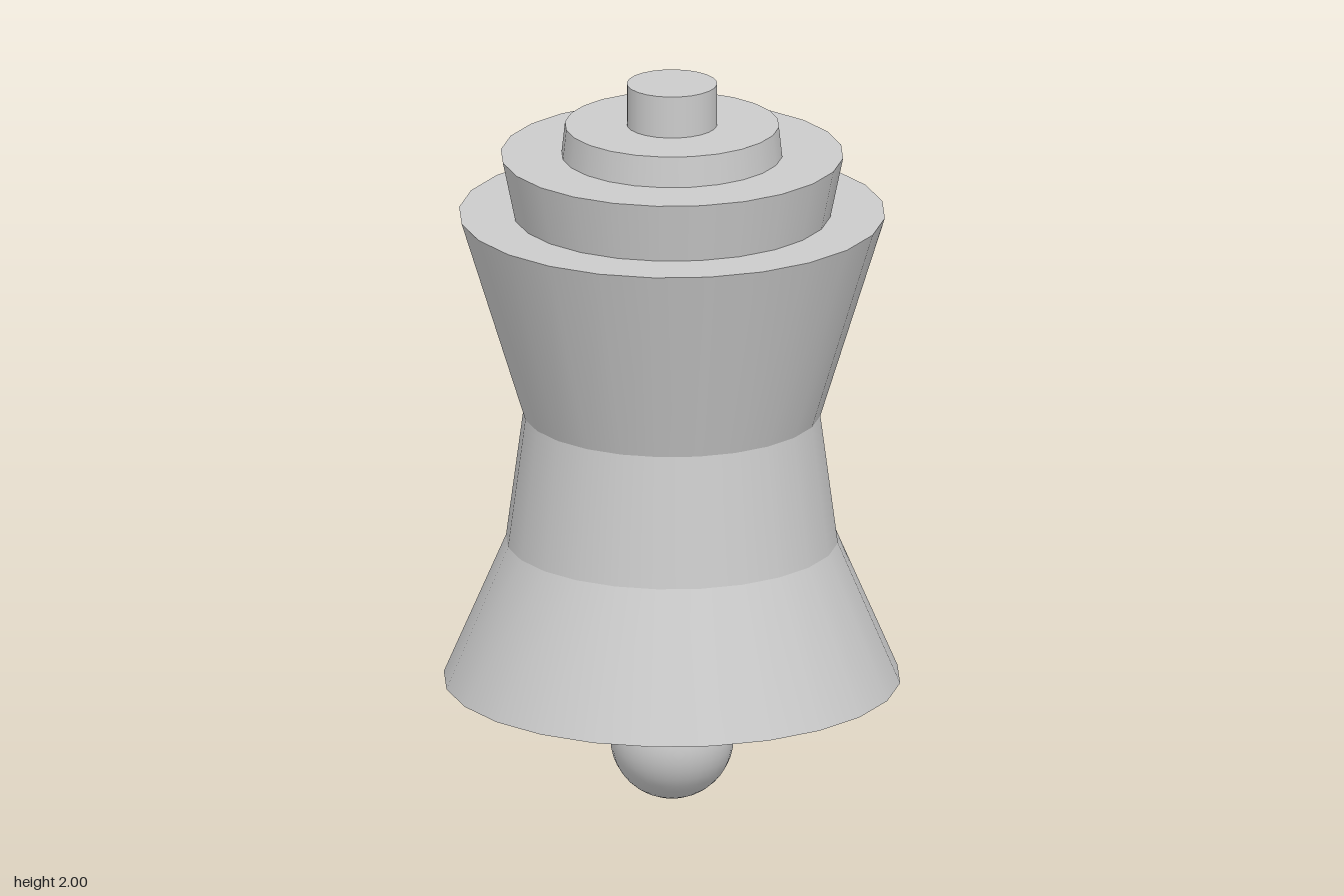
import * as THREE from 'three';

const material = new THREE.MeshStandardMaterial({ color: 0xcccccc });

// Capped round section between two heights
function section(name, y0, y1, rBottom, rTop) {
  const geometry = new THREE.CylinderGeometry(rTop, rBottom, y1 - y0, 24);
  const mesh = new THREE.Mesh(geometry, material);
  mesh.name = name;
  mesh.position.y = (y0 + y1) / 2;
  return mesh;
}

export function createModel() {
  const model = new THREE.Group();
  model.name = 'bell';

  // Stacked sections, bottom to top: name, y0, y1, bottom radius, top radius
  const sections = [
    ['flaredSkirt', 0.333, 0.722, 0.612, 0.445],
    ['waist', 0.722, 1.078, 0.445, 0.398],
    ['flaredShoulder', 1.078, 1.637, 0.398, 0.571],
    ['upperTier', 1.637, 1.802, 0.425, 0.459],
    ['crownTier', 1.802, 1.885, 0.296, 0.287],
    ['topKnob', 1.885, 2.0, 0.121, 0.121],
  ];
  for (const s of sections) model.add(section(...s));

  // Ball under the skirt
  const ball = new THREE.Mesh(new THREE.SphereGeometry(0.1655, 32, 20), material);
  ball.name = 'clapperBall';
  ball.position.y = 0.1655;
  model.add(ball);

  return model;
}
